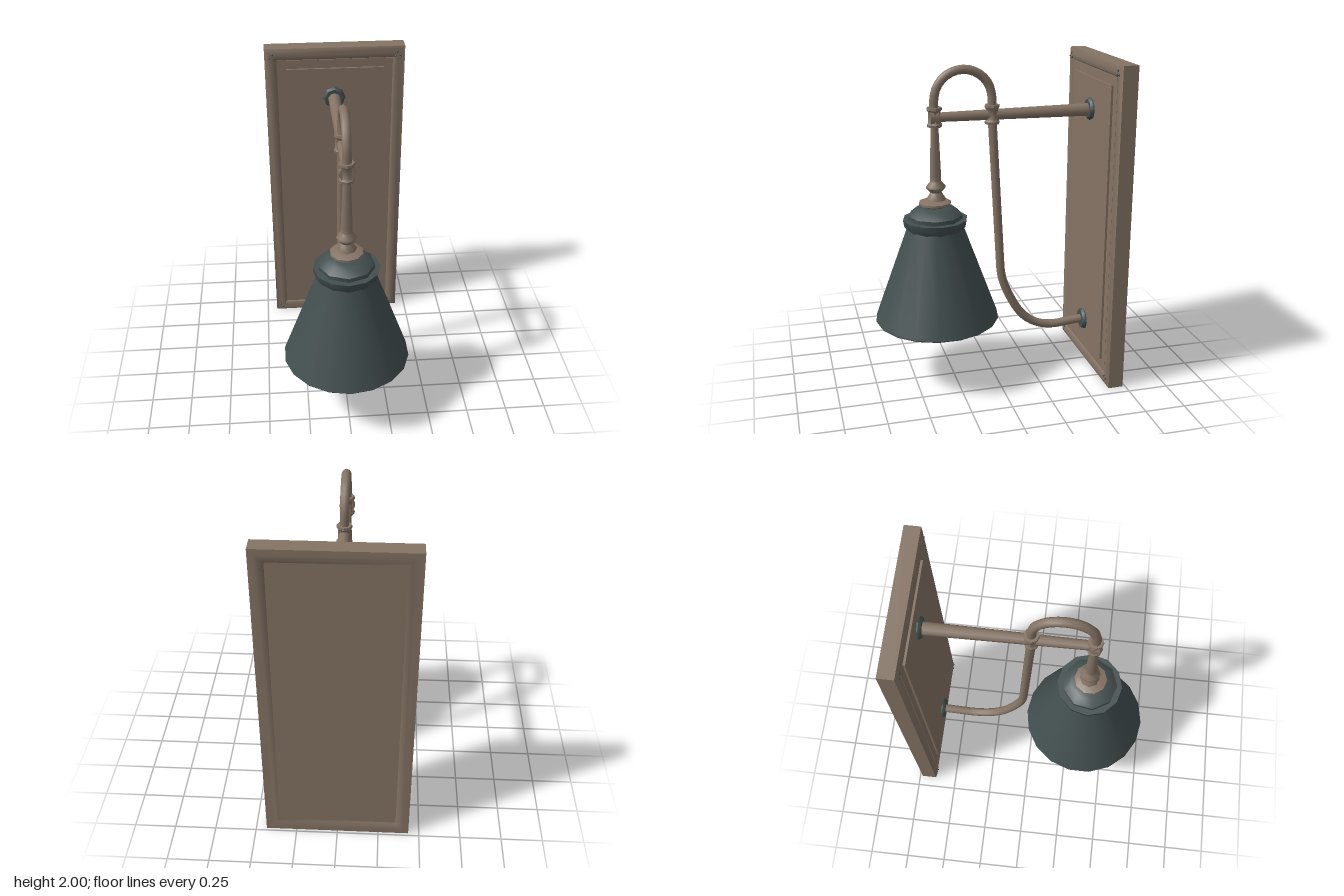
import * as THREE from 'three';
import { toCreasedNormals } from 'three/addons/utils/BufferGeometryUtils.js';

const X = -0.007; // the fixture's centre line
const SHADE_Z = 0.35;

export function createModel() {
  const bronze = new THREE.MeshStandardMaterial({ color: 0x857465, side: THREE.DoubleSide });
  const slate = new THREE.MeshStandardMaterial({ color: 0x434f50, side: THREE.DoubleSide });
  const glass = new THREE.MeshStandardMaterial({ color: 0xe0e0e0 });
  bronze.name = 'bronze';
  slate.name = 'slate';
  glass.name = 'frosted glass';

  const model = new THREE.Group();
  model.name = 'wallLamp';

  const add = (name, geometry, material, x = 0, y = 0, z = 0) => {
    const mesh = new THREE.Mesh(geometry, material);
    mesh.name = name;
    mesh.position.set(x, y, z);
    model.add(mesh);
    return mesh;
  };
  const lathe = (profile, sides, crease = 0.7) => toCreasedNormals(
    new THREE.LatheGeometry(profile.map(([r, y]) => new THREE.Vector2(r, y)), sides), crease);

  // Backplate: mitred moulding, flat panel and raised field
  add('backplateFrame', mitredFrame(0.435, 1, [
    [0.08, -0.722], [0.06, -0.732], [0.035, -0.735], [0, -0.733], [0, -0.64],
    [0.015, -0.632], [0.04, -0.629], [0.065, -0.635], [0.08, -0.65],
  ]), bronze, 0, 1, 0);
  add('backplatePanel', new THREE.BoxGeometry(0.72, 1.85, 0.084), bronze, 0, 1, -0.68);
  add('raisedField', new THREE.BoxGeometry(0.61, 1.73, 0.02), bronze, 0, 1.005, -0.635);

  // Small pins at the mitred corners
  for (const sx of [-1, 1]) for (const sy of [-1, 1]) {
    for (const [px, py] of [[0.385, 0.968], [0.405, 0.945], [0.375, 0.94]]) {
      add('cornerPin', new THREE.SphereGeometry(0.007, 6, 4), slate, sx * px, 1 + sy * py, -0.629);
    }
  }

  // Octagonal wall flanges
  for (const y of [1.68, 0.285]) {
    const flange = add('wallFlange', lathe(
      [[0, 0], [0.07, 0], [0.07, 0.012], [0.058, 0.026], [0, 0.026]], 8), slate, X, y, -0.628);
    flange.rotation.x = Math.PI / 2;
  }

  // Tapered horizontal arm
  const arm = add('horizontalArm', new THREE.CylinderGeometry(0.028, 0.039, 0.95, 10), bronze, X, 1.675, -0.13);
  arm.rotation.x = Math.PI / 2;

  // Curved pipe: over the hook, down the back and out to the lower flange
  const path = new THREE.CurvePath();
  const hook = [];
  for (let i = 0; i <= 8; i++) {
    const a = Math.PI * i / 8;
    hook.push(new THREE.Vector3(X, 1.77 + 0.178 * Math.sin(a), 0.17 + 0.175 * Math.cos(a)));
  }
  const v = (y, z) => new THREE.Vector3(X, y, z);
  path.add(new THREE.LineCurve3(v(1.7, 0.345), hook[0]));
  path.add(new THREE.CatmullRomCurve3(hook));
  path.add(new THREE.LineCurve3(hook[8], v(1.62, -0.007)));
  path.add(new THREE.LineCurve3(v(1.62, -0.007), v(0.68, -0.06)));
  path.add(new THREE.CatmullRomCurve3([
    v(0.68, -0.06), v(0.61, -0.075), v(0.48, -0.13), v(0.37, -0.2), v(0.3, -0.29),
    v(0.272, -0.4), v(0.28, -0.52), v(0.287, -0.61)]));
  add('curvedPipe', new THREE.TubeGeometry(path, 72, 0.027, 10), bronze);

  // Collars where the pipe crosses the arm
  const collar = [[0.025, -0.055], [0.044, -0.055], [0.046, -0.04], [0.038, -0.03],
    [0.038, 0.035], [0.046, 0.045], [0.044, 0.06], [0.025, 0.06]];
  add('frontCollar', lathe(collar, 8), bronze, X, 1.675, 0.342);
  add('rearCollar', lathe(collar, 8), bronze, X, 1.675, -0.005);
  const knuckle = add('armEnd', new THREE.CylinderGeometry(0.046, 0.046, 0.05, 8), bronze, X, 1.675, 0.345);
  knuckle.rotation.x = Math.PI / 2;

  // Stem with turned knob and foot
  add('stem', lathe([
    [0, 1.14], [0.06, 1.17], [0.058, 1.185], [0.034, 1.222], [0.06, 1.25], [0.058, 1.262],
    [0.033, 1.29], [0.034, 1.32], [0.024, 1.6], [0.024, 1.64],
  ], 8, 0.9), bronze, X, 0, 0.343);
  add('stemFoot', lathe([
    [0, 1.125], [0.06, 1.13], [0.07, 1.142], [0.098, 1.15], [0.098, 1.163], [0.06, 1.177], [0, 1.18],
  ], 10), bronze, X, 0, SHADE_Z);

  // Shade cap, collar and open cone
  add('shadeCap', lathe([
    [0.165, 1.04], [0.165, 1.085], [0.12, 1.122], [0.08, 1.132], [0, 1.132],
  ], 9), slate, X, 0, SHADE_Z);
  add('shadeCollar', lathe([
    [0.165, 0.985], [0.19, 1.02], [0.197, 1.06], [0.15, 1.06],
  ], 12), slate, X, 0, SHADE_Z);
  add('shade', lathe([
    [0.368, 0.418], [0.376, 0.41], [0.383, 0.418], [0.378, 0.432], [0.178, 0.985], [0.165, 1.03],
  ], 18), slate, X, 0, SHADE_Z);

  // Bulb and its socket inside the shade
  add('socket', new THREE.CylinderGeometry(0.06, 0.06, 0.24, 10), slate, X, 0.97, SHADE_Z);
  add('bulb', lathe([
    [0, 0.455], [0.06, 0.467], [0.115, 0.503], [0.15, 0.555], [0.162, 0.62], [0.148, 0.685],
    [0.11, 0.745], [0.07, 0.81], [0.055, 0.87],
  ], 18, 1.2), glass, X, 0, SHADE_Z);

  return model;
}

// Sweeps an (inset, z) profile around a rectangle with mitred corners
function mitredFrame(halfWidth, halfHeight, profile) {
  const corners = [[-1, -1], [1, -1], [1, 1], [-1, 1]];
  const at = ([sx, sy], [inset, z]) => [sx * (halfWidth - inset), sy * (halfHeight - inset), z];
  const positions = [];
  corners.forEach((a, i) => {
    const b = corners[(i + 1) % 4];
    for (let j = 0; j < profile.length - 1; j++) {
      const p = at(a, profile[j]), q = at(b, profile[j]);
      const r = at(b, profile[j + 1]), s = at(a, profile[j + 1]);
      positions.push(...p, ...q, ...r, ...p, ...r, ...s);
    }
  });
  const geometry = new THREE.BufferGeometry();
  geometry.setAttribute('position', new THREE.Float32BufferAttribute(positions, 3));
  return toCreasedNormals(geometry, 0.8);
}
